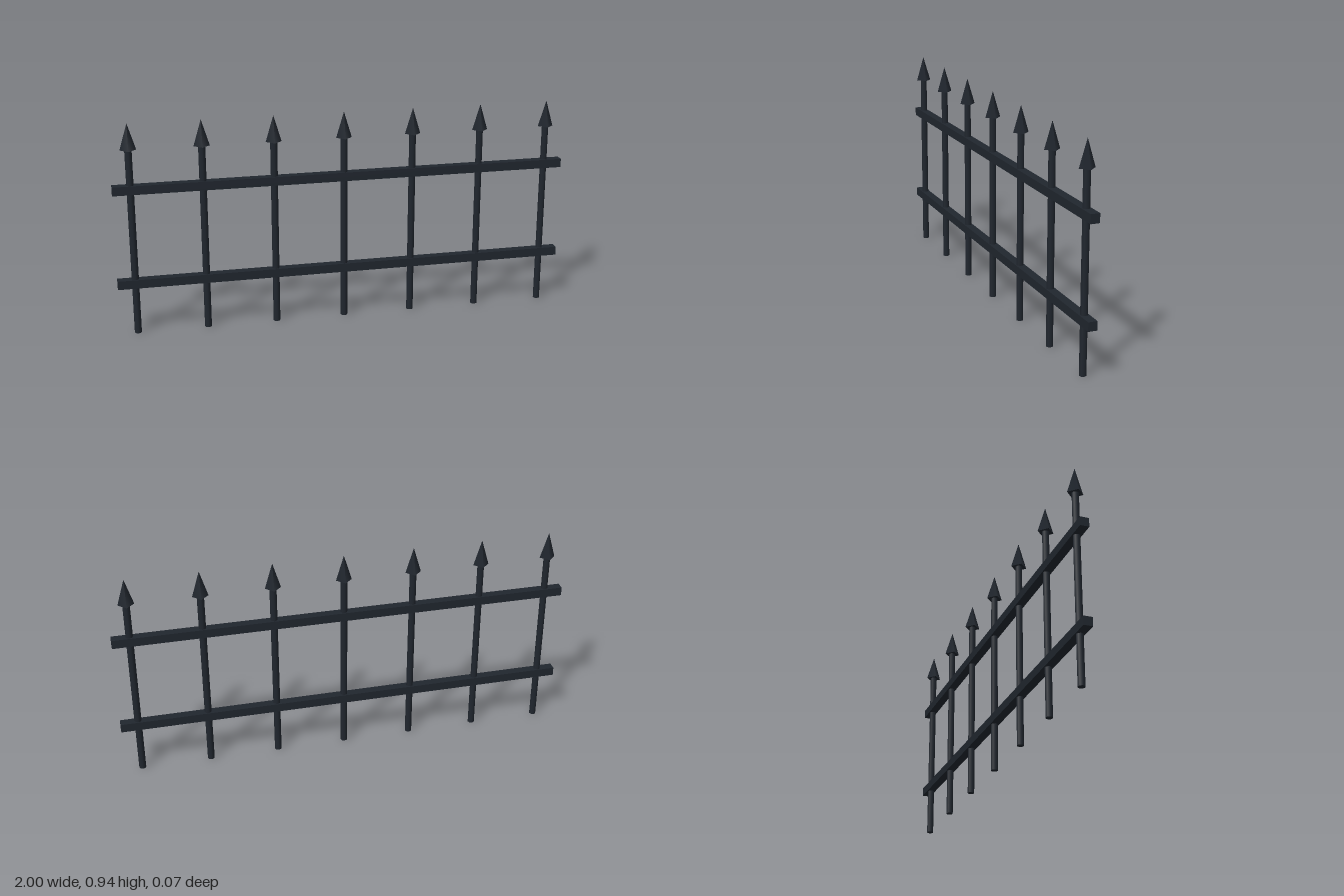
import * as THREE from 'three';

export function createModel() {
  const fence = new THREE.Group();
  fence.name = 'fence';
  const iron = new THREE.MeshStandardMaterial({ color: 0x20262e });

  const add = (name, geometry, x, y) => {
    const mesh = new THREE.Mesh(geometry, iron);
    mesh.name = name;
    mesh.position.set(x, y, 0);
    fence.add(mesh);
  };

  // Two square horizontal rails
  const railGeometry = new THREE.BoxGeometry(2, 0.0385, 0.0385);
  add('lowerRail', railGeometry, 0, 0.231);
  add('upperRail', railGeometry, 0, 0.654);

  // Seven eight-sided pickets, each with a four-sided spear point
  const picketHeight = 0.84;
  const tipBase = 0.827;
  const tipHeight = 0.115;
  const picketGeometry = new THREE.CylinderGeometry(0.0154, 0.0154, picketHeight, 8);
  const tipGeometry = new THREE.ConeGeometry(0.0346, tipHeight, 4);
  for (let i = -3; i <= 3; i++) {
    const x = i * 0.3077;
    add('picket', picketGeometry, x, picketHeight / 2);
    add('spearTip', tipGeometry, x, tipBase + tipHeight / 2);
  }
  return fence;
}
